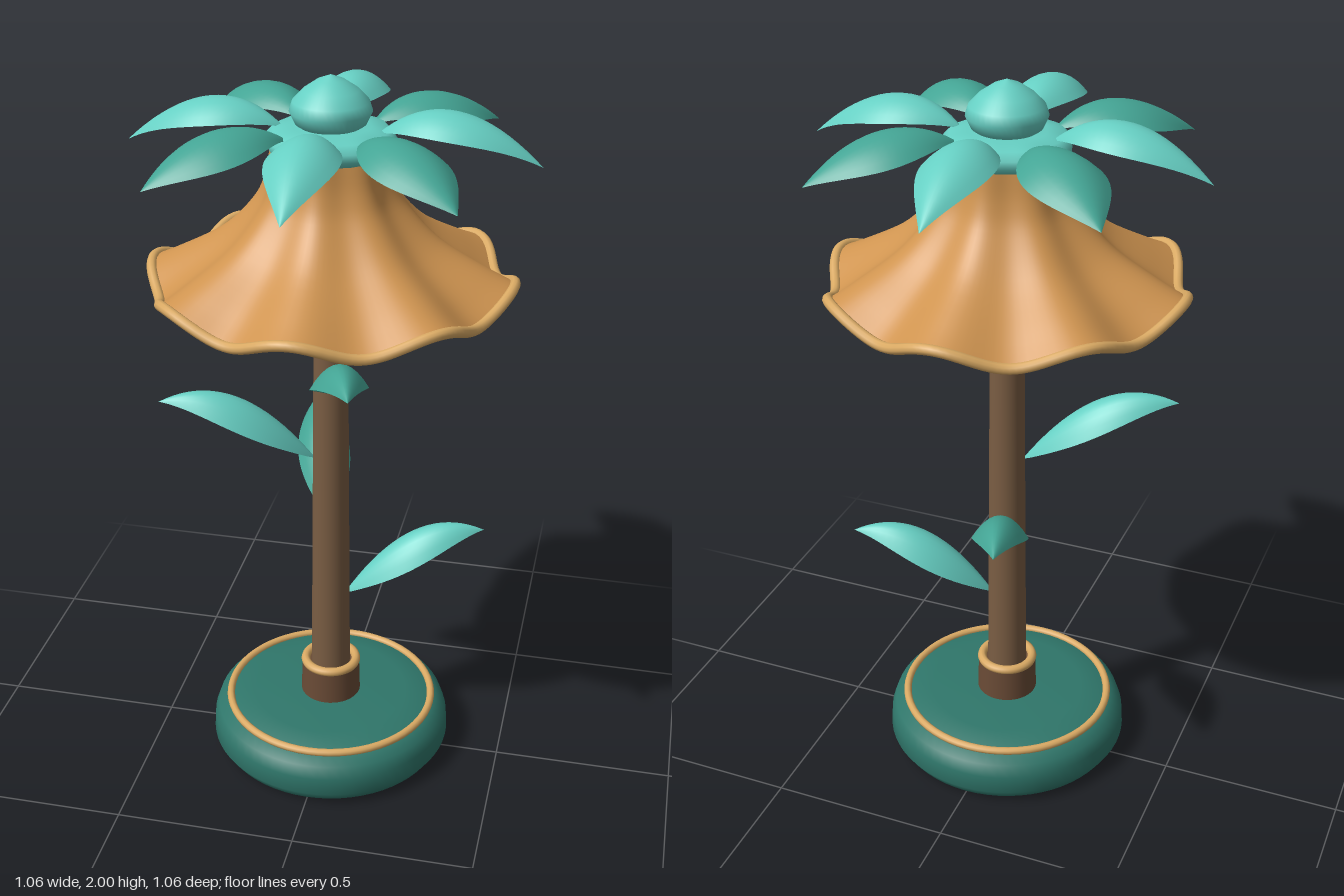
import * as THREE from 'three';
import { mergeVertices } from 'three/addons/utils/BufferGeometryUtils.js';

const mat = (name, color, side = THREE.FrontSide) =>
  Object.assign(new THREE.MeshStandardMaterial({ color, side }), { name });

export function createModel() {
  const model = new THREE.Group();
  const lightTeal = mat('light teal', 0x66cfc3, THREE.DoubleSide);
  const midTeal = mat('mid teal', 0x44a595, THREE.DoubleSide);
  const darkTeal = mat('dark teal', 0x2f766a);
  const orange = mat('shade orange', 0xcf9450, THREE.DoubleSide);
  const gold = mat('trim gold', 0xdaaa64);
  const brown = mat('stem brown', 0x7a5d43);
  const darkBrown = mat('collar brown', 0x6a4b36);

  const add = (name, geometry, material) => {
    const mesh = new THREE.Mesh(geometry, material);
    mesh.name = name;
    model.add(mesh);
    return mesh;
  };
  const v2 = (p) => new THREE.Vector2(p[0], p[1]);
  const lathe = (points, segments = 48) => new THREE.LatheGeometry(points.map(v2), segments);
  const ring = (name, radius, tube, y) => {
    const m = add(name, new THREE.TorusGeometry(radius, tube, 10, 64), gold);
    m.rotation.x = Math.PI / 2;
    m.position.y = y;
  };

  // Lathe whose wall waves in and out (and up and down) in eight lobes
  const wave = (r, y, angle, flute, lift) => {
    const c = Math.cos(8 * angle);
    return [r * (1 + flute * c), y + lift * c];
  };
  const wavyLathe = (points, flute, liftAt) => {
    let g = lathe(points, 128);
    const pos = g.attributes.position;
    for (let i = 0; i < pos.count; i++) {
      const x = pos.getX(i), y = pos.getY(i), z = pos.getZ(i);
      const a = Math.atan2(z, x);
      const [r, h] = wave(Math.hypot(x, z), y, a, flute, liftAt(y));
      pos.setXYZ(i, r * Math.cos(a), h, r * Math.sin(a));
    }
    g.deleteAttribute('uv');
    g.deleteAttribute('normal');
    g = mergeVertices(g, 1e-5);
    g.computeVertexNormals();
    return g;
  };

  // Cupped leaf following a midrib in the x-y plane, edges drooping
  const leafGeometry = (p0, p1, p2, halfWidth, cup, skew) => {
    const rib = new THREE.QuadraticBezierCurve(v2(p0), v2(p1), v2(p2));
    const g = new THREE.PlaneGeometry(1, 1, 20, 10);
    const pos = g.attributes.position;
    for (let i = 0; i < pos.count; i++) {
      const t = pos.getX(i) + 0.5, s = -pos.getY(i) * 2;
      const p = rib.getPoint(t);
      const w = Math.max(0, Math.sin(Math.PI * Math.pow(t, skew)));
      pos.setXYZ(i, p.x, p.y - cup * w * s * s, s * w * halfWidth);
    }
    g.computeVertexNormals();
    return g;
  };

  // Base, stem and trim
  add('base', lathe([[0, 0.004], [0.15, 0.002], [0.3, 0], [0.325, 0.01], [0.345, 0.04], [0.342, 0.09],
    [0.33, 0.125], [0.3, 0.145], [0.22, 0.163], [0, 0.165]], 64), darkTeal);
  ring('baseRing', 0.295, 0.011, 0.15);
  const collar = add('stemCollar', new THREE.CylinderGeometry(0.083, 0.086, 0.1, 40), darkBrown);
  collar.position.y = 0.21;
  ring('collarRing', 0.073, 0.013, 0.265);
  const stem = add('stem', new THREE.CylinderGeometry(0.041, 0.056, 1.58, 32), brown);
  stem.position.y = 1.03;
  add('stemBead', lathe([[0.04, 1.39], [0.048, 1.395], [0.064, 1.425], [0.062, 1.44],
    [0.045, 1.465], [0.03, 1.47]], 32), gold);
  ring('socketRing', 0.06, 0.014, 1.64);

  // Fluted shade with a rolled rim
  const flute = 0.035, rimLift = 0.024, rimR = 0.46, rimY = 1.462;
  const spline = new THREE.SplineCurve([[rimR, rimY], [0.39, 1.503], [0.275, 1.58], [0.195, 1.67],
    [0.163, 1.74], [0.15, 1.815]].map(v2));
  const shadePoints = spline.getPoints(24).map((p) => [p.x, p.y]);
  add('shade', wavyLathe(shadePoints, flute, (y) =>
    rimLift * Math.pow(THREE.MathUtils.clamp((1.815 - y) / (1.815 - rimY), 0, 1), 3)), orange);
  const rim = [];
  for (let i = 0; i < 96; i++) {
    const a = (i / 96) * Math.PI * 2;
    const [r, y] = wave(rimR, rimY, a, flute, rimLift);
    rim.push(new THREE.Vector3(r * Math.cos(a), y, r * Math.sin(a)));
  }
  add('shadeRim', new THREE.TubeGeometry(new THREE.CatmullRomCurve3(rim, true), 192, 0.014, 10, true), gold);

  // Flower crown: scalloped disc, bud and eight petals
  add('crownDisc', wavyLathe([[0, 1.808], [0.15, 1.81], [0.162, 1.825], [0.163, 1.845],
    [0.145, 1.864], [0.1, 1.872], [0, 1.875]], 0.02, () => 0), lightTeal);
  add('bud', lathe([[0.06, 1.86], [0.09, 1.88], [0.104, 1.91], [0.096, 1.935], [0.07, 1.962],
    [0.035, 1.986], [0, 2]], 40), lightTeal);
  const axisPetal = leafGeometry([0.12, 1.86], [0.3, 2.02], [0.53, 1.8], 0.09, 0.05, 0.95);
  const diagonalPetal = leafGeometry([0.12, 1.85], [0.3, 1.99], [0.53, 1.8], 0.104, 0.05, 1.12);
  for (let i = 0; i < 8; i++) {
    const odd = i % 2;
    const petal = add('petal', odd ? diagonalPetal : axisPetal, odd ? midTeal : lightTeal);
    petal.rotation.y = (i * Math.PI) / 4;
  }

  // Four leaves spiralling up the stem
  const stemLeaf = leafGeometry([0.04, 0], [0.24, 0.29], [0.435, 0.19], 0.075, 0.07, 0.9);
  [0.49, 0.71, 0.935, 1.15].forEach((y, i) => {
    const leaf = add('stemLeaf', stemLeaf, i % 2 ? midTeal : lightTeal);
    leaf.position.y = y;
    leaf.rotation.y = 0.3 + (i * Math.PI) / 2;
    leaf.scale.x = 1 + i * 0.03;
  });
  return model;
}
